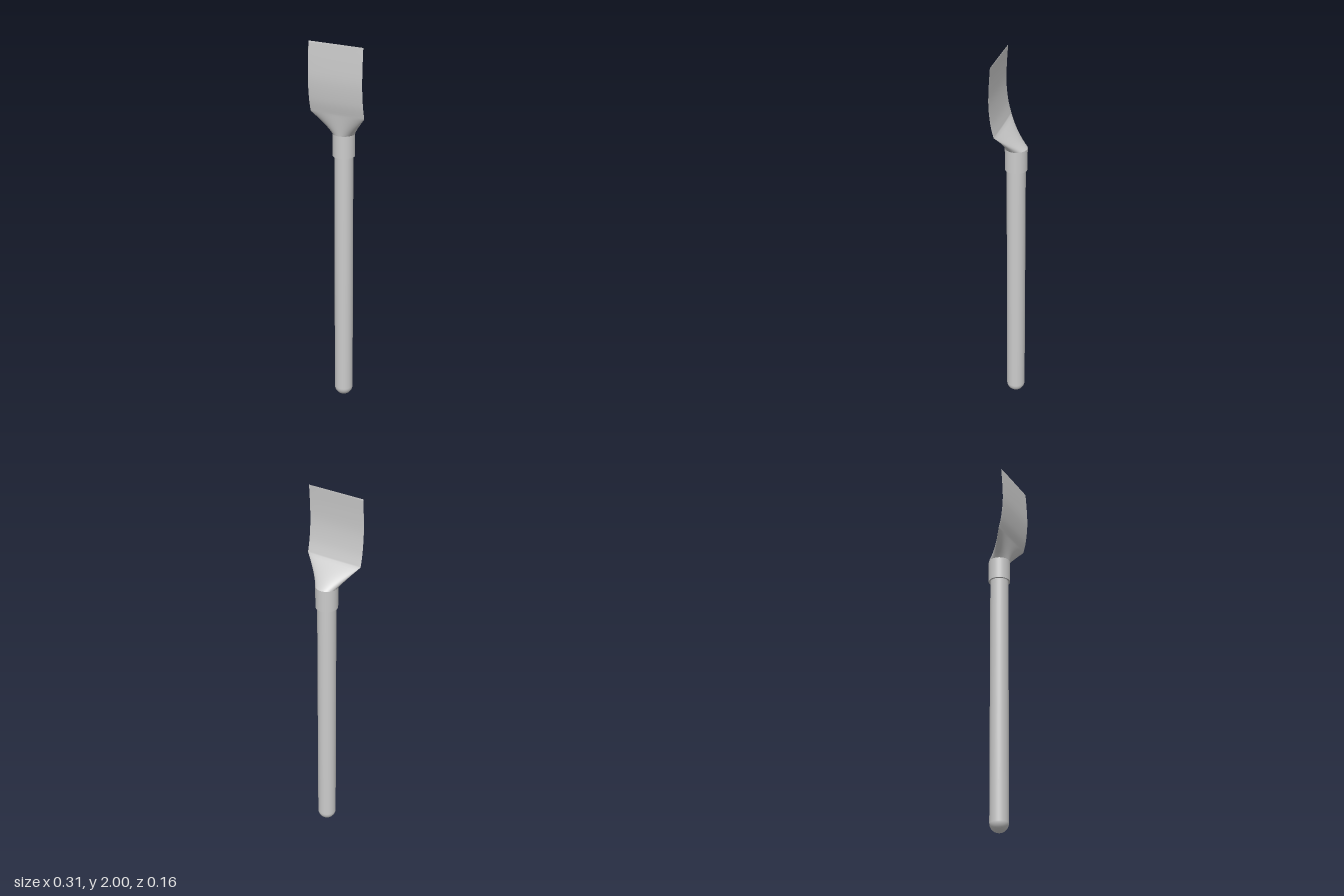
import * as THREE from 'three';

const AXIS_Z = -0.021;
const material = new THREE.MeshStandardMaterial({ color: 0xcccccc, side: THREE.DoubleSide });

// Skin through elliptical rings given as [y, z back, z front, half width]
function loft(rings, sides = 64) {
  const positions = [], index = [], row = sides + 1;
  for (const [y, back, front, half] of rings) {
    for (let i = 0; i <= sides; i++) {
      const a = (i / sides) * Math.PI * 2;
      positions.push(half * Math.cos(a), y, (front + back) / 2 + (front - back) / 2 * Math.sin(a));
    }
  }
  for (let j = 0; j < rings.length - 1; j++) {
    for (let i = 0; i < sides; i++) {
      const a = j * row + i, b = a + row;
      index.push(a, b, a + 1, a + 1, b, b + 1);
    }
  }
  // close the thin top edge
  const top = (rings.length - 1) * row;
  for (let i = 1; i < sides - 1; i++) index.push(top, top + i + 1, top + i);
  const geometry = new THREE.BufferGeometry();
  geometry.setAttribute('position', new THREE.Float32BufferAttribute(positions, 3));
  geometry.setIndex(index);
  geometry.computeVertexNormals();
  return geometry;
}

export function createModel() {
  const group = new THREE.Group();
  const add = (name, geometry, y = 0, z = 0) => {
    const mesh = new THREE.Mesh(geometry, material);
    mesh.name = name;
    mesh.position.set(0, y, z);
    group.add(mesh);
  };

  // Round handle with a domed end
  const r = 0.049, profile = [];
  for (let i = 0; i <= 12; i++) {
    const a = (i / 12) * Math.PI / 2;
    profile.push(new THREE.Vector2(r * Math.sin(a), r - r * Math.cos(a)));
  }
  profile.push(new THREE.Vector2(r, 1.42));
  add('handle', new THREE.LatheGeometry(profile, 48), 0, AXIS_Z);

  // Collar gripping the handle
  add('collar', new THREE.CylinderGeometry(0.058, 0.058, 0.12, 48), 1.455, AXIS_Z);

  // Socket flattening from the collar into the blade root
  const rings = [];
  for (let i = 0; i <= 10; i++) {
    const t = i / 10;
    const half = THREE.MathUtils.lerp(0.058, 0.152, Math.pow(t, 1.08));
    rings.push([1.515 + 0.115 * t, -0.079 + 0.124 * t, 0.037 + 0.017 * t, half]);
  }

  // Thin curved blade, tapering to its edge
  const curve = new THREE.SplineCurve([
    [1.63, 0.0495], [1.7, 0.066], [1.8, 0.0755], [1.9, 0.073], [2, 0.066],
  ].map(([y, z]) => new THREE.Vector2(y, z)));
  for (let i = 1; i <= 24; i++) {
    const t = i / 24, p = curve.getPoint(t);
    const thick = 0.001 + 0.0035 * Math.pow(1 - t, 2);
    rings.push([p.x, p.y - thick, p.y + thick, 0.153]);
  }
  add('blade', loft(rings));

  return group;
}
